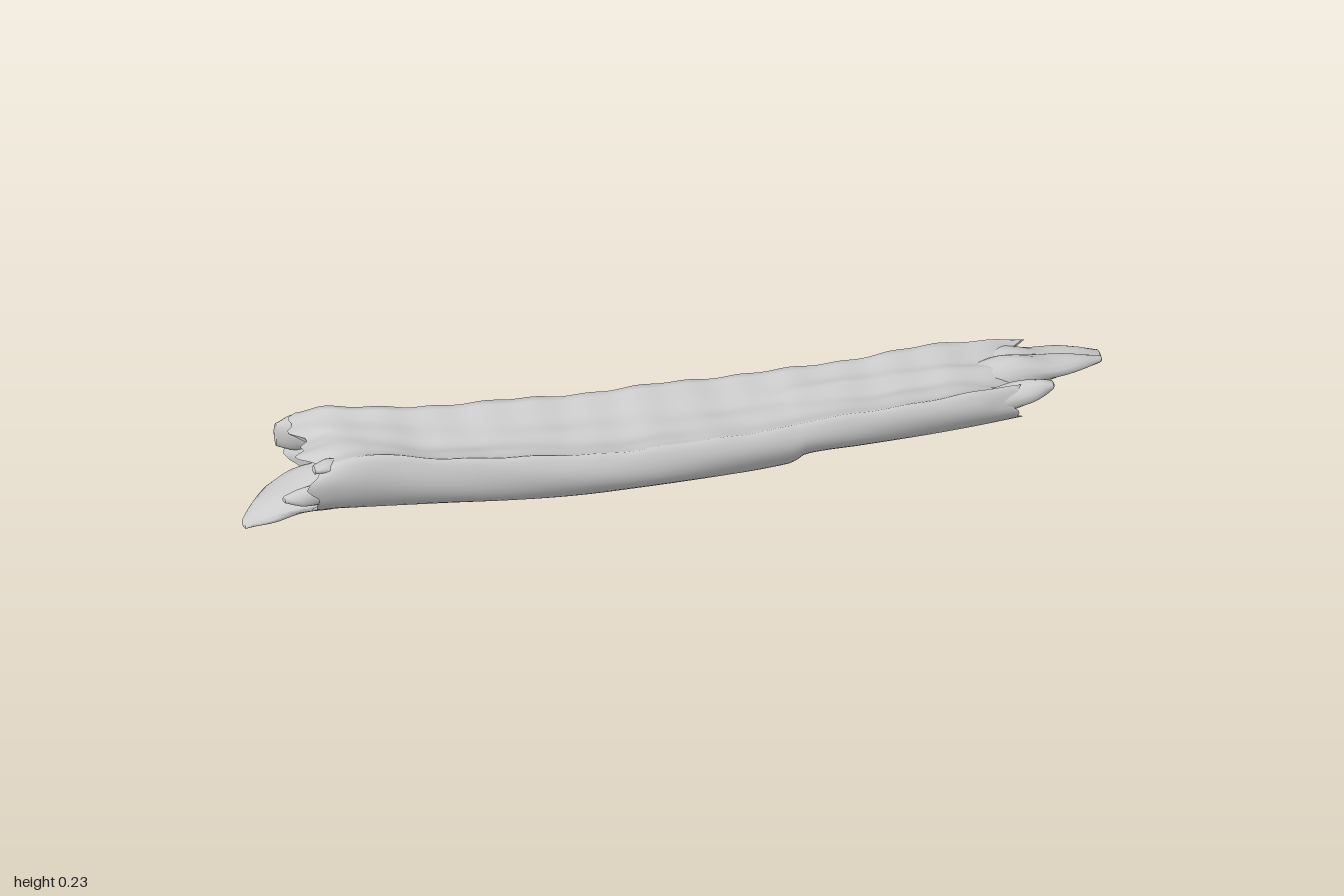
import * as THREE from 'three';

const material = new THREE.MeshStandardMaterial({ color: 0xcccccc, side: THREE.DoubleSide });
const lerp = THREE.MathUtils.lerp;

// Smoothly interpolated row of a table whose first column is x
function sample(table, x) {
  let i = 0;
  while (i < table.length - 2 && x > table[i + 1][0]) i++;
  const p = table[Math.max(i - 1, 0)], a = table[i], b = table[i + 1];
  const q = table[Math.min(i + 2, table.length - 1)];
  const h = b[0] - a[0], t = THREE.MathUtils.clamp((x - a[0]) / h, 0, 1);
  return a.map((v, k) => {
    const m0 = p === a ? b[k] - v : (b[k] - p[k]) * h / (b[0] - p[0]);
    const m1 = q === b ? b[k] - v : (q[k] - v) * h / (q[0] - a[0]);
    const t2 = t * t, t3 = t2 * t;
    return (2 * t3 - 3 * t2 + 1) * v + (t3 - 2 * t2 + t) * m0 + (3 * t2 - 2 * t3) * b[k] + (t3 - t2) * m1;
  });
}

// Closed skin over rings running towards +x, with a pointed or hollow cap at each end
function loft(name, rings, startCap, endCap) {
  const n = rings[0].length, pos = [], index = [];
  const addRing = (r) => r.forEach((p) => pos.push(...p));
  rings.forEach(addRing);
  for (let i = 0; i < rings.length - 1; i++) {
    for (let j = 0; j < n; j++) {
      const a = i * n + j, b = i * n + (j + 1) % n;
      index.push(a, a + n, b, b, a + n, b + n);
    }
  }
  // Caps get their own rim vertices so the broken edge stays crisp
  [[rings[0], startCap, true], [rings[rings.length - 1], endCap, false]].forEach(([ring, c, start]) => {
    const base = pos.length / 3;
    addRing(ring);
    addRing(ring.map((p) => [lerp(p[0], c[0], 0.7), lerp(p[1], c[1], 0.45), lerp(p[2], c[2], 0.45)]));
    pos.push(...c);
    const centre = base + 2 * n;
    for (let j = 0; j < n; j++) {
      const k = (j + 1) % n;
      const tris = [[base + n + j, base + j, base + k], [base + n + j, base + k, base + n + k],
        [centre, base + n + j, base + n + k]];
      tris.forEach(([u, v, w]) => (start ? index.push(u, v, w) : index.push(u, w, v)));
    }
  });
  const geometry = new THREE.BufferGeometry();
  geometry.setAttribute('position', new THREE.Float32BufferAttribute(pos, 3));
  geometry.setIndex(index);
  geometry.computeVertexNormals();
  const mesh = new THREE.Mesh(geometry, material);
  mesh.name = name;
  return mesh;
}

// x, back z, front z, bottom y, back rim y, front rim y, trough depth
const stations = [
  [-0.86, -0.172, 0.098, 0.042, 0.195, 0.192, 0.01],
  [-0.8, -0.163, 0.102, 0.041, 0.21, 0.212, 0.012],
  [-0.72, -0.14, 0.112, 0.042, 0.213, 0.23, 0.02],
  [-0.6, -0.118, 0.13, 0.045, 0.211, 0.217, 0.028],
  [-0.4, -0.105, 0.157, 0.045, 0.208, 0.208, 0.028],
  [-0.2, -0.1, 0.172, 0.046, 0.206, 0.2, 0.024],
  [0, -0.1, 0.17, 0.05, 0.206, 0.198, 0.02],
  [0.24, -0.1, 0.152, 0.055, 0.205, 0.2, 0.02],
  [0.27, -0.1, 0.149, 0.075, 0.205, 0.203, 0.02],
  [0.4, -0.103, 0.142, 0.077, 0.205, 0.206, 0.022],
  [0.6, -0.118, 0.132, 0.08, 0.208, 0.213, 0.03],
  [0.72, -0.124, 0.124, 0.084, 0.2, 0.215, 0.04],
  [0.79, -0.127, 0.12, 0.09, 0.185, 0.213, 0.055],
];

const OUTER = 30, TOP = 22;

// Cross-section: rounded bark below, a shallow furrowed trough above
function section(x) {
  const [, zb, zf, y0, yb, yf, dip] = sample(stations, x);
  const pts = [], zc = (zb + zf) / 2, rz = (zf - zb) / 2;
  for (let j = 0; j <= OUTER; j++) {
    const s = j / OUTER, a = lerp(-0.55, Math.PI + 0.55, s);
    const rim = lerp(yb, yf, s), ry = (rim - y0) / 1.53;
    const bump = 1 + 0.014 * Math.sin(a * 5 + x * 5) * Math.sin(x * 9 + a);
    pts.push([x, y0 + ry - ry * Math.sin(a) * bump, zc - rz * Math.cos(a) * bump]);
  }
  const f = pts[OUTER], b = pts[0];
  // Wandering, uneven rims
  f[1] += 0.003 * Math.sin(x * 31) * Math.sin(x * 13);
  b[1] += 0.004 * Math.sin(x * 37 + 1) * Math.sin(x * 17);
  for (let j = 1; j < TOP; j++) {
    const t = j / TOP, arch = Math.sin(Math.PI * t);
    const ridge = 0.01 * Math.exp(-(((t - 0.63) / 0.1) ** 2)) * THREE.MathUtils.smoothstep(x, 0.05, 0.4);
    const furrow = 0.002 * arch * Math.sin(t * 17 + x * 5) + 0.003 * arch * Math.sin(t * 9 - x * 13);
    pts.push([x, lerp(f[1], b[1], t) - dip * Math.pow(arch, 0.8) + ridge + furrow, lerp(f[2], b[2], t)]);
  }
  return pts;
}

function logBody() {
  const rings = [], steps = 110;
  for (let i = 0; i <= steps; i++) {
    const x = lerp(-0.86, 0.79, i / steps), ring = section(x);
    // Ragged breaks at both ends, running further out along the back
    const wl = 1 - THREE.MathUtils.smoothstep(x, -0.86, -0.76);
    const wr = THREE.MathUtils.smoothstep(x, 0.66, 0.79);
    ring.forEach((p, j) => {
      const a = j / ring.length * Math.PI * 2;
      const jag = Math.sin(a * 5 + 1) * 0.014 + Math.sin(a * 11) * 0.01;
      p[0] += wl * (jag + 0.12 * Math.max(p[2], 0)) + wr * (jag * 0.8 - 0.01 - 0.2 * p[2]);
    });
    rings.push(ring);
  }
  return loft('logBody', rings, [-0.8, 0.13, -0.03], [0.69, 0.13, 0.03]);
}

// Tapered splinter through rows of x, y, z, half height, half depth, tilt
function splinter(name, rows) {
  const rings = [], steps = 18, sides = 14, first = rows[0], last = rows[rows.length - 1];
  for (let i = 0; i <= steps; i++) {
    const [x, y, z, ry, rz, tilt] = sample(rows, lerp(first[0], last[0], i / steps));
    const ring = [];
    for (let j = 0; j < sides; j++) {
      const a = j / sides * Math.PI * 2, w = 1 + 0.08 * Math.sin(a * 3 + x * 40);
      const u = -Math.cos(a) * rz * w, v = -Math.sin(a) * ry * w;
      ring.push([x, y + v * Math.cos(tilt) + u * Math.sin(tilt), z + u * Math.cos(tilt) - v * Math.sin(tilt)]);
    }
    rings.push(ring);
  }
  return loft(name, rings, [first[0] - 0.004, first[1], first[2]], [last[0] + 0.004, last[1], last[2]]);
}

const splinters = {
  lowerTongue: [[-0.996, 0.01, -0.005, 0.006, 0.018, 0], [-0.96, 0.017, -0.035, 0.015, 0.045, 0],
    [-0.92, 0.03, -0.045, 0.02, 0.066, 0], [-0.84, 0.06, -0.04, 0.03, 0.08, 0],
    [-0.76, 0.085, -0.03, 0.038, 0.08, 0], [-0.66, 0.105, -0.01, 0.035, 0.06, 0]],
  leftFrontSpike: [[-0.915, 0.105, 0.052, 0.008, 0.012, 0.6], [-0.87, 0.112, 0.058, 0.022, 0.022, 0.6],
    [-0.74, 0.12, 0.05, 0.025, 0.025, 0.6]],
  leftBackSpike: [[-0.892, 0.14, -0.155, 0.03, 0.014, 0], [-0.85, 0.15, -0.138, 0.045, 0.025, 0],
    [-0.72, 0.15, -0.08, 0.03, 0.02, 0]],
  leftUpperSpike: [[-0.85, 0.19, 0.07, 0.009, 0.016, 0.2], [-0.81, 0.188, 0.06, 0.016, 0.024, 0.2],
    [-0.7, 0.15, 0.05, 0.012, 0.02, 0.2]],
  rightFrontProng: [[0.6, 0.145, 0.08, 0.02, 0.02, 0.4], [0.73, 0.172, 0.092, 0.032, 0.026, 0.4],
    [0.79, 0.187, 0.097, 0.027, 0.023, 0.3], [0.825, 0.199, 0.1, 0.017, 0.02, 0.1], [0.842, 0.203, 0.102, 0.008, 0.013, 0]],
  rightBackProng: [[0.6, 0.14, -0.07, 0.02, 0.02, 0], [0.76, 0.135, -0.088, 0.044, 0.038, 0],
    [0.87, 0.122, -0.1, 0.033, 0.036, 0], [0.95, 0.113, -0.113, 0.024, 0.027, 0], [0.994, 0.108, -0.117, 0.013, 0.018, 0]],
  rightMiddleProng: [[0.6, 0.14, -0.03, 0.02, 0.02, 0], [0.77, 0.15, -0.038, 0.038, 0.042, 0],
    [0.87, 0.148, -0.042, 0.024, 0.036, 0], [0.94, 0.147, -0.05, 0.014, 0.022, 0], [0.985, 0.143, -0.058, 0.006, 0.01, 0]],
};

export function createModel() {
  const group = new THREE.Group();
  group.name = 'brokenLog';
  group.add(logBody());
  for (const [name, rows] of Object.entries(splinters)) group.add(splinter(name, rows));
  return group;
}
